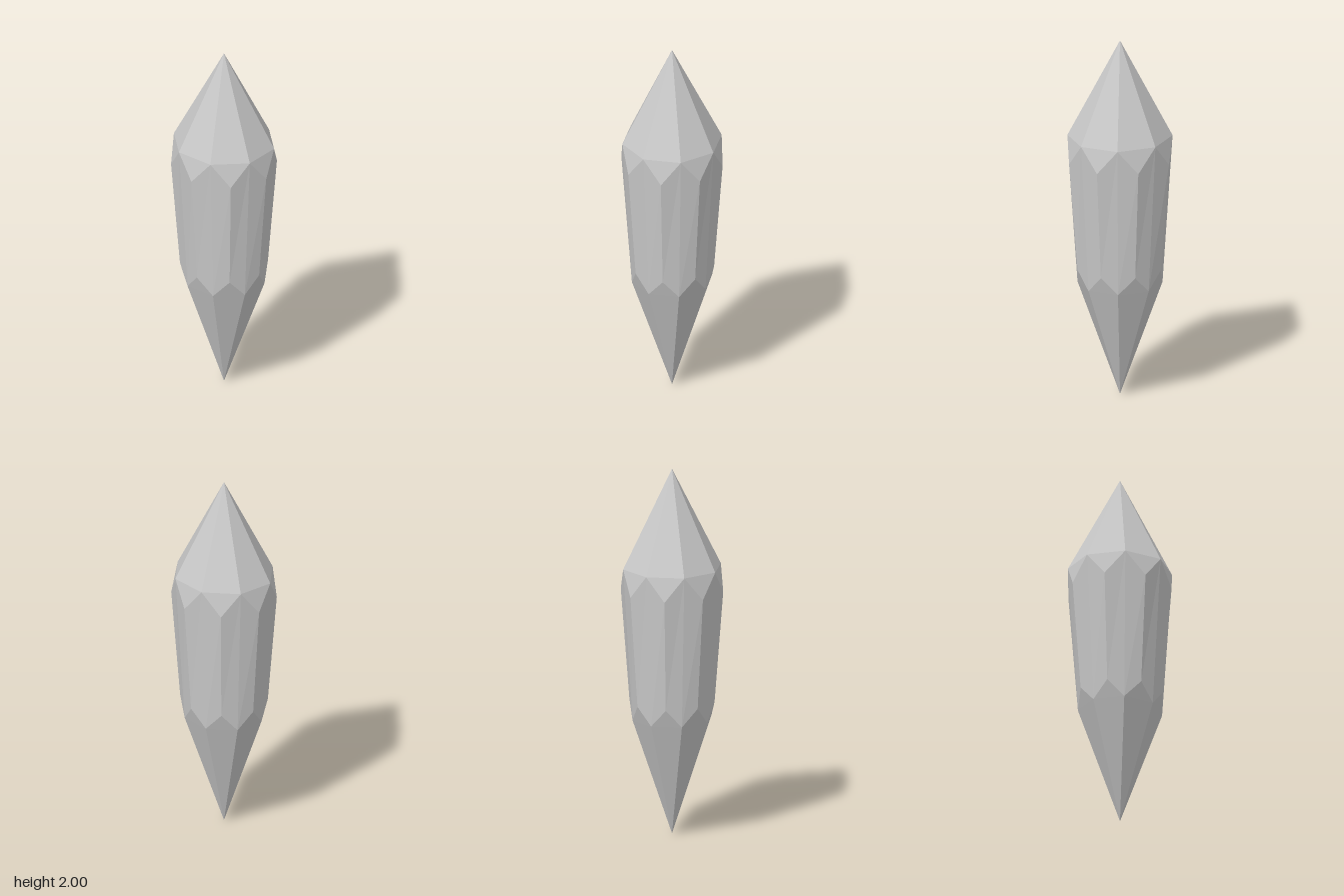
import * as THREE from 'three';

const SIDES = 8;
const X_SCALE = 0.95; // slightly narrower across than deep

// Point on a ring; step counts eighths of a turn
const at = (step, r, y) => {
  const a = (step * Math.PI * 2) / SIDES;
  return [Math.cos(a) * r * X_SCALE, y, Math.sin(a) * r];
};

const TOP = [0, 2, 0];
const TIP = [0, 0, 0];
const upperRidge = (k) => at(k, 0.29, 1.335);
const upperNotch = (k) => at(k, 0.282, 1.465);
const lowerRidge = (k) => at(k, 0.241, 0.73);
const lowerNotch = (k) => at(k, 0.228, 0.635);

// Repeats a set of polygons round the axis as one faceted mesh
function facetRing(name, material, polygons) {
  const pos = [];
  for (let k = 0; k < SIDES; k++) {
    for (const p of polygons(k)) {
      for (let i = 1; i < p.length - 1; i++) pos.push(...p[0], ...p[i], ...p[i + 1]);
    }
  }
  const geometry = new THREE.BufferGeometry();
  geometry.setAttribute('position', new THREE.Float32BufferAttribute(pos, 3));
  geometry.computeVertexNormals();
  const mesh = new THREE.Mesh(geometry, material);
  mesh.name = name;
  return mesh;
}

export function createModel() {
  const group = new THREE.Group();
  group.name = 'crystal';
  const stone = new THREE.MeshStandardMaterial({ color: 0xc8c8c8 });
  stone.name = 'grey crystal';

  group.add(
    // Long pointed crown
    facetRing('upperPoint', stone, (k) => [
      [upperNotch(k + 0.5), upperNotch(k - 0.5), TOP],
    ]),
    // Small triangular facets under the crown
    facetRing('upperBevels', stone, (k) => [
      [upperNotch(k + 0.5), upperRidge(k), upperNotch(k - 0.5)],
    ]),
    // Tapering shaft with zigzag ends
    facetRing('shaft', stone, (k) => [
      [lowerNotch(k + 0.5), lowerRidge(k), upperRidge(k), upperNotch(k + 0.5)],
      [lowerRidge(k), lowerNotch(k - 0.5), upperNotch(k - 0.5), upperRidge(k)],
    ]),
    // Small triangular facets above the lower point
    facetRing('lowerBevels', stone, (k) => [
      [lowerNotch(k + 0.5), lowerNotch(k - 0.5), lowerRidge(k)],
    ]),
    // Long pointed base
    facetRing('lowerPoint', stone, (k) => [
      [TIP, lowerNotch(k - 0.5), lowerNotch(k + 0.5)],
    ]),
  );
  return group;
}
